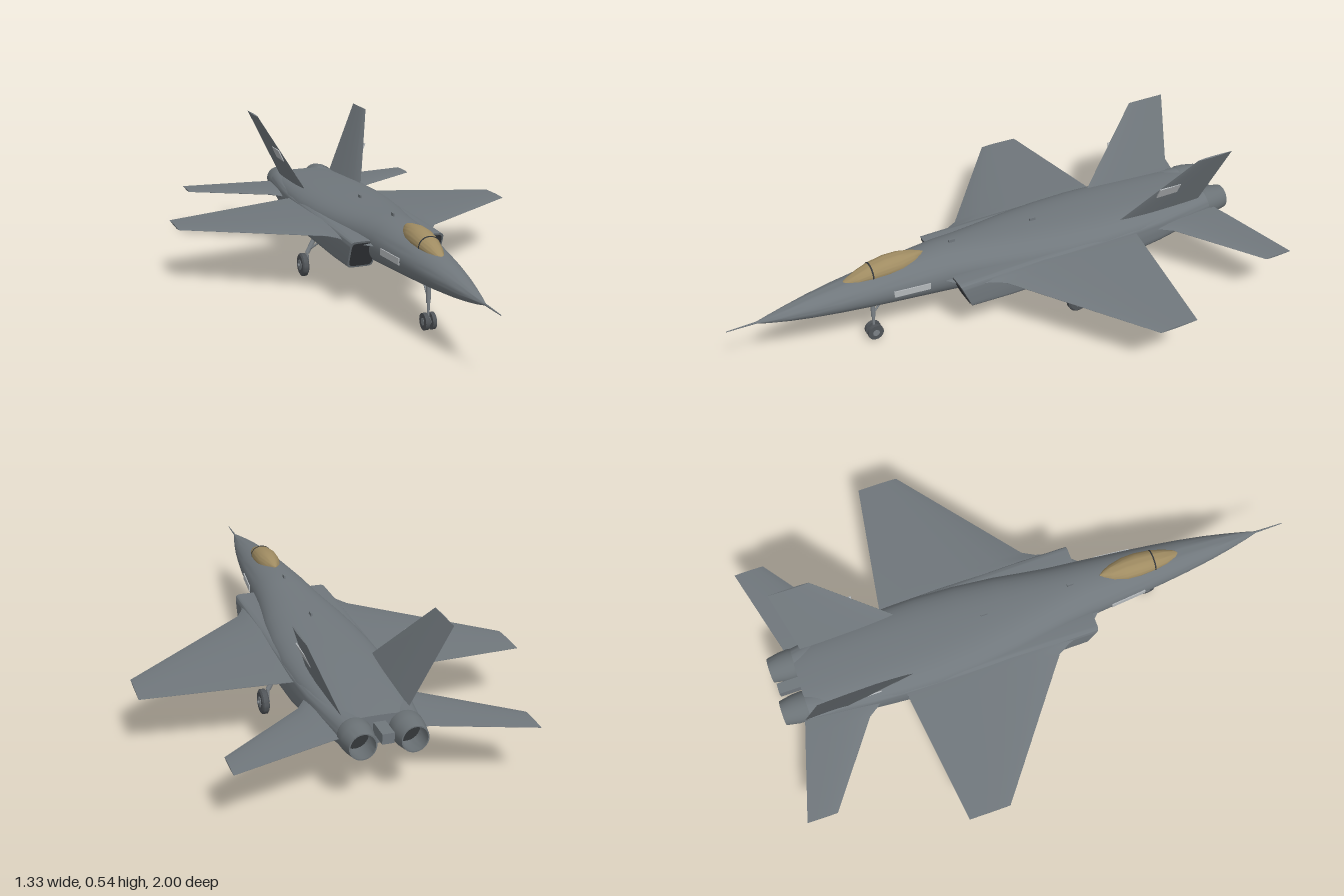
import * as THREE from 'three';
import { toCreasedNormals } from 'three/addons/utils/BufferGeometryUtils.js';

const V = (x, y, z) => new THREE.Vector3(x, y, z);
const mat = (name, color, side = THREE.FrontSide) => {
  const m = new THREE.MeshStandardMaterial({ color, side });
  m.name = name;
  return m;
};

// Closed skin over a list of rings, capped at both ends, always facing outwards
function loft(rings, crease = 0.6) {
  const n = rings[0].length, pts = rings.flat(), faces = [];
  for (let r = 0; r < rings.length - 1; r++) {
    for (let i = 0; i < n; i++) {
      const a = r * n + i, b = r * n + (i + 1) % n;
      faces.push([a, b, b + n], [a, b + n, a + n]);
    }
  }
  const last = (rings.length - 1) * n;
  for (const [start, flip] of [[0, true], [last, false]]) {
    const c = V(0, 0, 0);
    for (let i = 0; i < n; i++) c.addScaledVector(pts[start + i], 1 / n);
    const k = pts.push(c) - 1;
    for (let i = 0; i < n; i++) {
      const a = start + i, b = start + (i + 1) % n;
      faces.push(flip ? [k, b, a] : [k, a, b]);
    }
  }
  let volume = 0;
  for (const [a, b, c] of faces) volume += pts[a].dot(V(0, 0, 0).crossVectors(pts[b], pts[c]));
  if (volume < 0) faces.forEach(f => f.reverse());
  const g = new THREE.BufferGeometry().setFromPoints(pts);
  g.setIndex(faces.flat());
  return toCreasedNormals(g, crease);
}

// Superellipse ring in the xy plane; slant pushes the lower lip backwards
function oval(z, cx, hw, yb, yt, n, slant = 0) {
  const ring = [], cy = (yb + yt) / 2, h = (yt - yb) / 2, N = 40;
  const pow = v => Math.sign(v) * Math.abs(v) ** (2 / n);
  for (let i = 0; i < N; i++) {
    const t = i / N * Math.PI * 2, y = cy + h * pow(Math.sin(t));
    ring.push(V(cx + hw * pow(Math.cos(t)), y, z - slant * (yt - y)));
  }
  return ring;
}

// Thin aerofoil through stations [x, y, zLeading, zTrailing, half thickness]
const FOIL = [[0, 0.06], [0.06, 0.5], [0.2, 0.85], [0.4, 1], [0.7, 0.65], [1, 0.08]];
function foil(stations, side, normal = [0, 1]) {
  return loft(stations.map(([x, y, le, te, t]) => {
    const at = (f, k) => V(side * (x + normal[0] * k * t), y + normal[1] * k * t, le + (te - le) * f);
    return [...FOIL.map(([f, k]) => at(f, k)), ...[...FOIL].reverse().map(([f, k]) => at(f, -k))];
  }), 0.4);
}

// Round bar between two points
function rod(a, b, r, r2 = r) {
  const d = b.clone().sub(a), g = new THREE.CylinderGeometry(r2, r, d.length(), 14);
  g.applyQuaternion(new THREE.Quaternion().setFromUnitVectors(V(0, 1, 0), d.clone().normalize()));
  const m = a.clone().add(b).multiplyScalar(0.5);
  return g.translate(m.x, m.y, m.z);
}

export function createModel() {
  const model = new THREE.Group();
  model.name = 'jetAircraft';
  const skin = mat('skinGrey', 0x70777c);
  const glass = mat('canopyAmber', 0xa08c62);
  const mark = mat('panelLightGrey', 0xb4b8bb);
  const dark = mat('intakeDark', 0x34373a);
  const metal = mat('nozzleGrey', 0x6b7276, THREE.DoubleSide);
  const gear = mat('gearGrey', 0x7b8186);
  const tyre = mat('tyreGrey', 0x505458);
  const add = (name, g, m) => {
    const mesh = new THREE.Mesh(g, m);
    mesh.name = name;
    model.add(mesh);
    return mesh;
  };

  // Fuselage: z, half width, bottom, top, squareness
  const body = [
    [0.895, 0.003, 0.227, 0.233, 2], [0.85, 0.015, 0.216, 0.243, 2], [0.78, 0.031, 0.203, 0.257, 2],
    [0.7, 0.047, 0.192, 0.272, 2], [0.6, 0.063, 0.181, 0.287, 2], [0.5, 0.076, 0.172, 0.299, 2],
    [0.4, 0.087, 0.164, 0.31, 2], [0.2, 0.106, 0.151, 0.325, 2.1], [0.1, 0.117, 0.147, 0.321, 2.2],
    [0, 0.133, 0.144, 0.317, 2.3], [-0.1, 0.15, 0.142, 0.314, 2.4], [-0.25, 0.168, 0.14, 0.309, 2.5],
    [-0.4, 0.175, 0.14, 0.304, 2.6], [-0.55, 0.17, 0.145, 0.298, 2.7], [-0.7, 0.157, 0.156, 0.289, 2.8],
    [-0.8, 0.145, 0.167, 0.282, 3], [-0.88, 0.13, 0.178, 0.275, 3],
  ];
  add('fuselage', loft(body.map(([z, ...r]) => oval(z, 0, ...r))), skin);
  add('noseProbe', rod(V(0, 0.23, 0.88), V(0, 0.23, 1), 0.004, 0.0015), skin);

  // Canopy with a slim frame hoop
  const canopy = [
    [0.582, 0.003, 0.284], [0.56, 0.016, 0.297], [0.52, 0.029, 0.315], [0.47, 0.039, 0.332],
    [0.41, 0.044, 0.343], [0.36, 0.042, 0.344], [0.31, 0.031, 0.337], [0.28, 0.018, 0.329], [0.265, 0.006, 0.322],
  ];
  add('canopy', loft(canopy.map(([z, w, top]) => oval(z, 0, w, 0.265, top, 2))), glass);
  add('canopyFrame', loft([0.468, 0.473].map(z => oval(z, 0, 0.0396, 0.265, 0.3335, 2))), dark);

  // Spine and belly aerials, block between the engines
  for (const [y, z] of [[0.326, 0.15], [0.314, -0.18], [0.147, 0.21]]) {
    add('aerial', new THREE.BoxGeometry(0.006, 0.016, 0.024).translate(0, y, z), skin);
  }
  add('tailBlock', new THREE.BoxGeometry(0.04, 0.035, 0.1).translate(0, 0.235, -0.91), skin);

  for (const s of [1, -1]) {
    // Engine nacelle with slanted intake mouth
    const nacelle = [
      [0.2, 0.128, 0.049, 0.15, 0.256, 7, 0.45], [0, 0.122, 0.055, 0.144, 0.26, 7],
      [-0.3, 0.118, 0.058, 0.142, 0.262, 6], [-0.5, 0.113, 0.06, 0.146, 0.263, 4.5],
      [-0.65, 0.107, 0.058, 0.155, 0.267, 3.5], [-0.78, 0.096, 0.056, 0.165, 0.272, 2.6],
      [-0.89, 0.084, 0.053, 0.172, 0.276, 2],
    ];
    add('nacelle', loft(nacelle.map(([z, cx, ...r]) => oval(z, s * cx, ...r))), skin);
    add('intakeMouth', loft([0.199, 0.203].map(z => oval(z - 0.003, s * 0.128, 0.042, 0.157, 0.249, 7, 0.45))), dark);

    // Exhaust nozzle, hollow to a dark disc
    const profile = [[0.053, 0], [0.056, 0.012], [0.054, 0.045], [0.045, 0.092], [0.041, 0.092], [0.046, 0.04], [0.044, 0.01]];
    const nozzle = new THREE.LatheGeometry(profile.map(p => new THREE.Vector2(...p)), 32).rotateX(-Math.PI / 2);
    add('nozzle', toCreasedNormals(nozzle.translate(s * 0.084, 0.225, -0.878), 0.6), metal);
    const disc = new THREE.CylinderGeometry(0.045, 0.045, 0.004, 32).rotateX(Math.PI / 2);
    add('exhaustDisc', disc.translate(s * 0.084, 0.225, -0.895), dark);

    // Main wing with root glove
    add('wing', foil([
      [0.09, 0.242, 0.24, -0.54, 0.015], [0.155, 0.242, 0.17, -0.533, 0.015], [0.185, 0.241, 0.08, -0.528, 0.014],
      [0.21, 0.24, 0.036, -0.525, 0.013], [0.667, 0.218, -0.312, -0.462, 0.003],
    ], s), skin);
    // Flap hinge fairings beneath the wing
    for (const [x, y, z] of [[0.22, 0.23, -0.43], [0.39, 0.224, -0.42], [0.49, 0.219, -0.41]]) {
      add('hingeFairing', new THREE.BoxGeometry(0.006, 0.01, 0.09).translate(s * x, y, z), skin);
    }

    // Tailplane
    add('tailplane', foil([
      [0.1, 0.227, -0.58, -0.895, 0.01], [0.165, 0.226, -0.63, -0.91, 0.01],
      [0.2, 0.225, -0.68, -0.92, 0.009], [0.49, 0.214, -0.888, -0.998, 0.003],
    ], s), skin);

    // Canted tail fin with a pale panel on its outer face
    const lean = Math.atan2(0.113, 0.25), nx = Math.cos(lean), ny = -Math.sin(lean);
    add('tailFin', foil([
      [0.108, 0.263, -0.465, -0.843, 0.007], [0.12, 0.29, -0.49, -0.846, 0.007], [0.233, 0.54, -0.73, -0.877, 0.003],
    ], s, [nx, ny]), skin);
    const finPanel = add('finPanel', new THREE.BoxGeometry(0.004, 0.05, 0.09), mark);
    finPanel.position.set(s * (0.17 + nx * 0.0045), 0.4 + ny * 0.0045, -0.655);
    finPanel.rotation.z = -s * lean;

    // Pale panel on the nose side
    const sidePanel = add('sidePanel', new THREE.BoxGeometry(0.006, 0.024, 0.135), mark);
    sidePanel.position.set(s * 0.0915, 0.238, 0.348);
    sidePanel.rotation.y = -s * 0.095;

    // Main landing gear
    add('mainStrut', rod(V(s * 0.145, 0.16, -0.27), V(s * 0.183, 0.09, -0.27), 0.009), gear);
    add('mainLowerStrut', rod(V(s * 0.183, 0.095, -0.27), V(s * 0.183, 0.04, -0.27), 0.006), gear);
    add('mainBrace', rod(V(s * 0.13, 0.15, -0.23), V(s * 0.178, 0.1, -0.27), 0.004), gear);
    add('mainAxle', rod(V(s * 0.178, 0.045, -0.27), V(s * 0.222, 0.045, -0.27), 0.006), gear);
    add('mainWheel', loft([[0.187, 0.037], [0.192, 0.044], [0.208, 0.044], [0.213, 0.037]].map(([x, r]) =>
      oval(0, 0, r, -r, r, 2).map(p => V(s * x, 0.045 + p.y, -0.27 + p.x)))), tyre);
    add('mainHub', rod(V(s * 0.185, 0.045, -0.27), V(s * 0.215, 0.045, -0.27), 0.02), gear);

    // Nose wheels
    add('noseWheel', rod(V(s * 0.006, 0.035, 0.467), V(s * 0.02, 0.035, 0.467), 0.03), tyre);
    add('noseHub', rod(V(s * 0.005, 0.035, 0.467), V(s * 0.0215, 0.035, 0.467), 0.013), gear);
  }

  // Nose landing gear leg
  add('noseStrut', rod(V(0, 0.18, 0.467), V(0, 0.1, 0.467), 0.008), gear);
  add('noseLowerStrut', rod(V(0, 0.11, 0.467), V(0, 0.03, 0.467), 0.005), gear);
  add('noseBrace', rod(V(0, 0.17, 0.42), V(0, 0.115, 0.465), 0.004), gear);

  // Stand on y = 0
  const box = new THREE.Box3().setFromObject(model);
  model.children.forEach(c => { c.position.y -= box.min.y; });
  return model;
}
